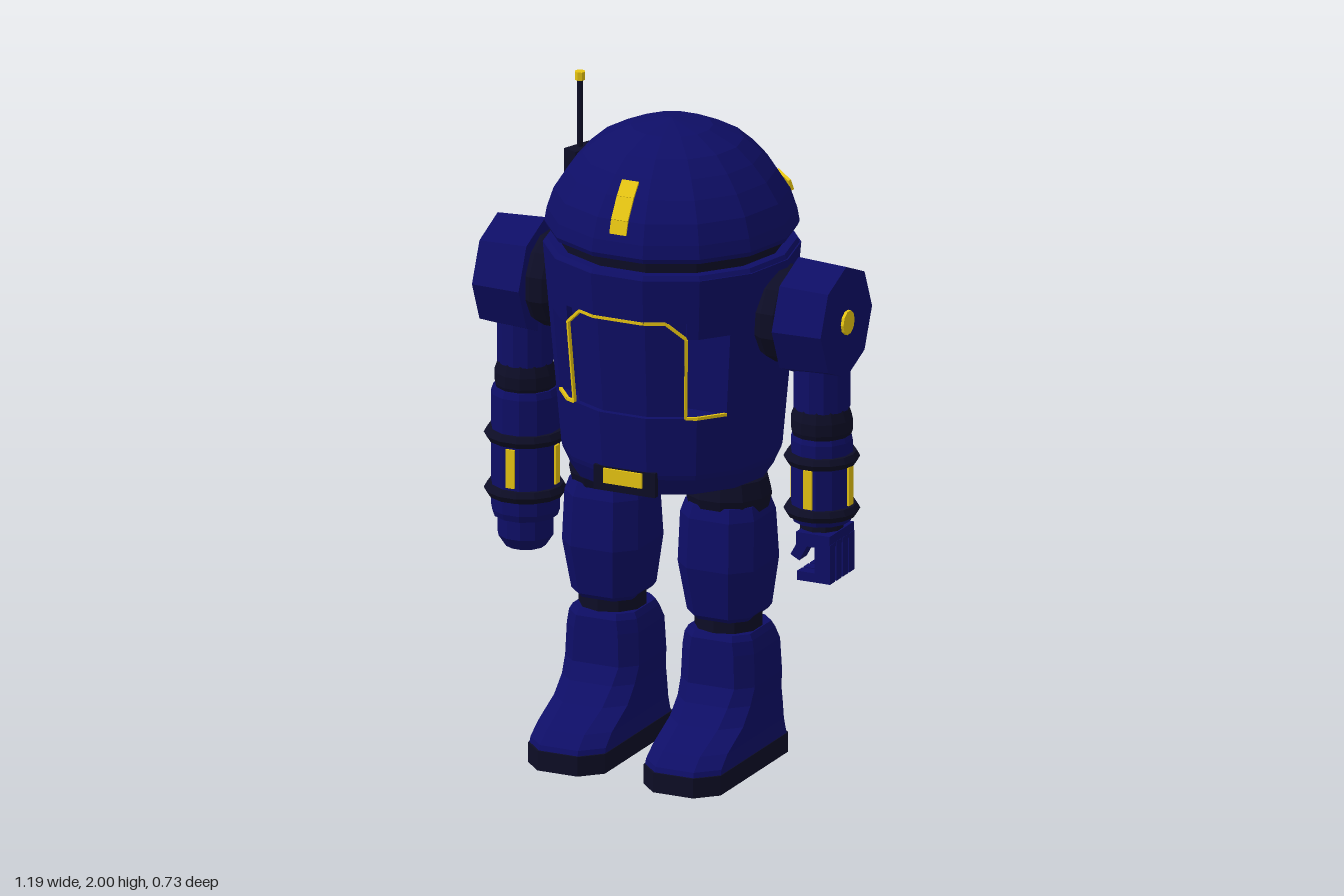
import * as THREE from 'three';

const navy = new THREE.MeshStandardMaterial({ color: 0x0e0e66 });
navy.name = 'navy shell';
const dark = new THREE.MeshStandardMaterial({ color: 0x0d0d26 });
dark.name = 'dark joints';
const gold = new THREE.MeshStandardMaterial({ color: 0xe6c412 });
gold.name = 'gold lights';

const SIDES = 14, STEP = Math.PI / 7, rad = THREE.MathUtils.degToRad;

function add(parent, name, geo, mat, x = 0, y = 0, z = 0) {
  const flat = geo.index ? geo.toNonIndexed() : geo;
  flat.computeVertexNormals();
  const mesh = new THREE.Mesh(flat, mat);
  mesh.name = name;
  mesh.position.set(x, y, z);
  parent.add(mesh);
  return mesh;
}

const box = (w, h, d) => new THREE.BoxGeometry(w, h, d);

// Faceted turned shape with a flat side to the front; profile is [radius, y] from bottom to top
const turn = (profile, n) => new THREE.LatheGeometry(
  profile.map(([r, y]) => new THREE.Vector2(r, y)), n, Math.PI / n);

// Closed skin through rings of [x, y, z], listed bottom to top, with both ends capped
function loft(rings) {
  const n = rings[0].length, pos = rings.flat(2), idx = [];
  for (let i = 0; i < rings.length - 1; i++) for (let j = 0; j < n; j++) {
    const a = i * n + j, b = i * n + (j + 1) % n;
    idx.push(a, b, b + n, a, b + n, a + n);
  }
  for (const [i, top] of [[0, false], [rings.length - 1, true]]) {
    const c = pos.length / 3;
    for (let k = 0; k < 3; k++) pos.push(rings[i].reduce((s, p) => s + p[k], 0) / n);
    for (let j = 0; j < n; j++) {
      const a = i * n + j, b = i * n + (j + 1) % n;
      idx.push(c, top ? a : b, top ? b : a);
    }
  }
  const g = new THREE.BufferGeometry();
  g.setAttribute('position', new THREE.Float32BufferAttribute(pos, 3));
  g.setIndex(idx);
  return g;
}

// Rectangle with cut corners
function cutRect(y, hx, zb, zf, c) {
  return [[c - hx, y, zf], [hx - c, y, zf], [hx, y, zf - c], [hx, y, zb + c],
    [hx - c, y, zb], [c - hx, y, zb], [-hx, y, zb + c], [-hx, y, zf - c]];
}

// Thin bar between two points
function bar(parent, name, a, b, w, t, mat) {
  const A = new THREE.Vector3(...a), B = new THREE.Vector3(...b);
  const m = add(parent, name, box(w, t, A.distanceTo(B)), mat);
  m.position.copy(A).add(B).multiplyScalar(0.5);
  m.lookAt(B);
}

// Point on the faceted torso at an angle (degrees from the front) and height
function torsoPoint(deg, y, inset = 0) {
  const a = rad(deg), off = a - Math.round(a / STEP) * STEP;
  const r = (0.322 + 0.0887 * (y - 0.95)) * Math.cos(STEP / 2) / Math.cos(off) - inset;
  return [r * Math.sin(a), y, r * Math.cos(a)];
}

function buildHead(root) {
  const head = new THREE.Group();
  head.name = 'head';
  root.add(head);
  add(head, 'neck', turn([[0.335, 1.55], [0.335, 1.63]], SIDES), dark);
  add(head, 'dome', turn([[0, 1.615], [0.365, 1.615], [0.372, 1.63], [0.365, 1.67], [0.345, 1.73],
    [0.306, 1.79], [0.262, 1.84], [0.21, 1.885], [0.12, 1.925], [0, 1.945]], SIDES), navy);
  // front light following the dome
  const strip = [[1.69, 0.349], [1.73, 0.338], [1.79, 0.3], [1.83, 0.266]];
  for (let i = 0; i < 3; i++) bar(head, 'headLight', [-0.003, ...strip[i]], [-0.003, ...strip[i + 1]], 0.054, 0.009, gold);
  // rear slots
  for (const s of [1, -1]) {
    const slot = add(head, 'rearSlot', box(0.11, 0.032, 0.009), s > 0 ? gold : dark, s * 0.243, 1.715, -0.252);
    slot.rotation.set(-0.32, Math.PI - s * rad(45), 0, 'YXZ');
  }
  // antenna
  const base = add(head, 'antennaBase', box(0.05, 0.09, 0.1), dark, -0.348, 1.725, -0.115);
  base.rotation.y = rad(-20);
  add(head, 'antennaRod', new THREE.CylinderGeometry(0.009, 0.009, 0.26, 6), dark, -0.355, 1.85, -0.115);
  add(head, 'antennaTip', new THREE.CylinderGeometry(0.016, 0.016, 0.025, 8), gold, -0.355, 1.9875, -0.115);
}

function buildTorso(root) {
  const torso = new THREE.Group();
  torso.name = 'torso';
  root.add(torso);
  const OPEN = 55, DOOR = 33, D = 180 / 7;
  const shell = (angles, ys, inset) => loft(ys.map(y => angles.map(a => torsoPoint(a, y, inset))));
  const full = Array.from({ length: SIDES }, (_, i) => (i + 0.5) * D);

  add(torso, 'lowerTorso', loft([[0.255, 0.87], [0.295, 0.885], [0.318, 0.935]].map(([r, y]) =>
    full.map(a => [r * Math.sin(rad(a)), y, r * Math.cos(rad(a))]))
    .concat([0.95, 1.13].map(y => full.map(a => torsoPoint(a, y))))), navy);
  add(torso, 'upperTorso', shell(full, [1.43, 1.565]), navy);
  add(torso, 'torsoRim', turn([[0.375, 1.56], [0.365, 1.578], [0, 1.578]], SIDES), navy);

  // shell behind the chest slot, closed by the slot's back wall
  const back = [OPEN];
  for (let k = 2.5; k < 12; k++) back.push(k * D);
  back.push(360 - OPEN);
  add(torso, 'backShell', shell(back, [1.13, 1.38]), navy);

  // chest plate and the set-back band above it
  const front = [-DOOR, -D / 2, D / 2, DOOR];
  add(torso, 'chestPlate', shell(front, [1.13, 1.38], 0.018), navy);
  const outer = [DOOR];
  for (let k = 1.5; k < 13; k++) outer.push(k * D);
  outer.push(360 - DOOR);
  add(torso, 'chestBand', loft([1.38, 1.43].map(y => [
    ...front.map(a => torsoPoint(a, y, 0.018)), ...outer.map(a => torsoPoint(a, y))])), navy);

  // gold outline of the chest plate
  const half = [[OPEN, 1.13], [1.5 * D, 1.13], [DOOR, 1.13], [DOOR, 1.38], [23, 1.43], [D / 2, 1.43]];
  const path = [...half, ...half.slice().reverse().map(([a, y]) => [-a, y])].map(([a, y]) => torsoPoint(a, y, 0.002));
  for (let i = 0; i < path.length - 1; i++) bar(torso, 'chestTrim', path[i], path[i + 1], 0.009, 0.009, gold);

  // buckle
  add(torso, 'bucklePlate', box(0.2, 0.075, 0.02), dark, 0, 0.923, 0.306);
  add(torso, 'buckleLight', box(0.125, 0.045, 0.008), gold, -0.003, 0.933, 0.319);
}

function buildArm(root, s, cx, r, foreBottom, ringYs) {
  const arm = new THREE.Group();
  arm.name = s > 0 ? 'leftArm' : 'rightArm';
  arm.position.x = cx;
  root.add(arm);
  // shoulder, its axis across the body
  const joint = add(arm, 'shoulderJoint', turn([[0.11, -0.07], [0.145, -0.02], [0.145, 0.02], [0.12, 0.07]], 12), dark, s * 0.375 - cx, 1.4);
  joint.rotation.z = Math.PI / 2;
  const block = add(arm, 'shoulderBlock', new THREE.CylinderGeometry(0.17, 0.178, 0.155, 8), navy, s * 0.488 - cx, 1.4);
  block.rotation.z = -s * Math.PI / 2;
  const light = add(arm, 'shoulderLight', new THREE.CylinderGeometry(0.037, 0.037, 0.009, 10), gold, s * 0.57 - cx, 1.4);
  light.rotation.z = -s * Math.PI / 2;
  // arm segments
  add(arm, 'upperArm', new THREE.CylinderGeometry(0.083, 0.083, 0.24, 12), navy, 0, 1.25);
  add(arm, 'elbow', turn([[0.08, 1.03], [0.092, 1.065], [0.092, 1.1], [0.08, 1.135]], 12), dark);
  add(arm, 'forearm', turn([[0, foreBottom], [r * 0.93, foreBottom], [r, foreBottom + 0.02], [r, 1.035],
    [r * 0.93, 1.055], [0, 1.055]], 12), navy);
  for (const y of ringYs) {
    const ring = add(arm, 'forearmRing', new THREE.TorusGeometry(r, 0.02, 6, 14), dark, 0, y);
    ring.rotation.x = Math.PI / 2;
  }
  const mid = (ringYs[0] + ringYs[1]) / 2;
  for (let k = 0; k < 4; k++) {
    const a = k * Math.PI / 2, d = r * Math.cos(Math.PI / 12) + 0.002;
    const strip = add(arm, 'forearmLight', box(0.028, 0.118, 0.009), gold, d * Math.sin(a), mid, d * Math.cos(a));
    strip.rotation.y = a;
  }
  return arm;
}

function buildLeg(root, name, cx, cz) {
  const leg = new THREE.Group();
  leg.name = name;
  leg.position.set(cx, 0, cz);
  root.add(leg);
  const part = (n, rows, mat) => add(leg, n, loft(rows.map(q => cutRect(...q))), mat);
  add(leg, 'hip', turn([[0.115, 0.77], [0.13, 0.83], [0.118, 0.88], [0.07, 0.91]], 12), dark);
  part('thigh', [[0.455, 0.09, -0.12, 0.1, 0.04], [0.47, 0.1, -0.13, 0.115, 0.045], [0.62, 0.123, -0.14, 0.14, 0.055],
    [0.77, 0.12, -0.125, 0.13, 0.055], [0.81, 0.108, -0.11, 0.115, 0.05]], navy);
  add(leg, 'knee', new THREE.CylinderGeometry(0.1, 0.1, 0.09, 10), dark, 0, 0.435);
  part('boot', [[0.055, 0.123, -0.195, 0.362, 0.06], [0.075, 0.122, -0.19, 0.355, 0.06], [0.11, 0.12, -0.182, 0.31, 0.06],
    [0.16, 0.119, -0.172, 0.2, 0.055], [0.21, 0.118, -0.16, 0.145, 0.05], [0.26, 0.12, -0.155, 0.115, 0.045],
    [0.36, 0.116, -0.15, 0.112, 0.045], [0.4, 0.11, -0.13, 0.11, 0.045], [0.418, 0.1, -0.12, 0.1, 0.04]], navy);
  part('sole', [[0, 0.125, -0.2, 0.366, 0.06], [0.06, 0.125, -0.2, 0.366, 0.06]], dark);
}

export function createModel() {
  const root = new THREE.Group();
  root.name = 'robot';
  buildHead(root);
  buildTorso(root);

  // right arm ends in a rounded blaster tip
  const right = buildArm(root, -1, -0.475, 0.102, 0.66, [0.91, 0.74]);
  add(right, 'armTip', turn([[0, 0.565], [0.06, 0.565], [0.083, 0.6], [0.083, 0.67]], 12), navy);
  add(right, 'tipLight', new THREE.CylinderGeometry(0.045, 0.045, 0.008, 12), gold, 0, 0.564);

  // left arm ends in a gripping hand
  const left = buildArm(root, 1, 0.486, 0.092, 0.785, [0.98, 0.82]);
  add(left, 'wrist', new THREE.CylinderGeometry(0.06, 0.065, 0.05, 10), dark, 0, 0.775);
  add(left, 'palm', box(0.11, 0.04, 0.16), navy, 0.01, 0.742);
  for (let i = 0; i < 4; i++) {
    const z = -0.063 + i * 0.042;
    add(left, 'finger', box(0.05, 0.12, 0.034), navy, 0.041, 0.675, z);
    add(left, 'fingerTip', box(0.07, 0.028, 0.034), navy, -0.006, 0.629, z);
  }
  const thumb = add(left, 'thumb', box(0.032, 0.085, 0.05), navy, -0.055, 0.7);
  thumb.rotation.z = -0.5;

  buildLeg(root, 'leftLeg', 0.183, 0);
  buildLeg(root, 'rightLeg', -0.207, -0.03);
  return root;
}
